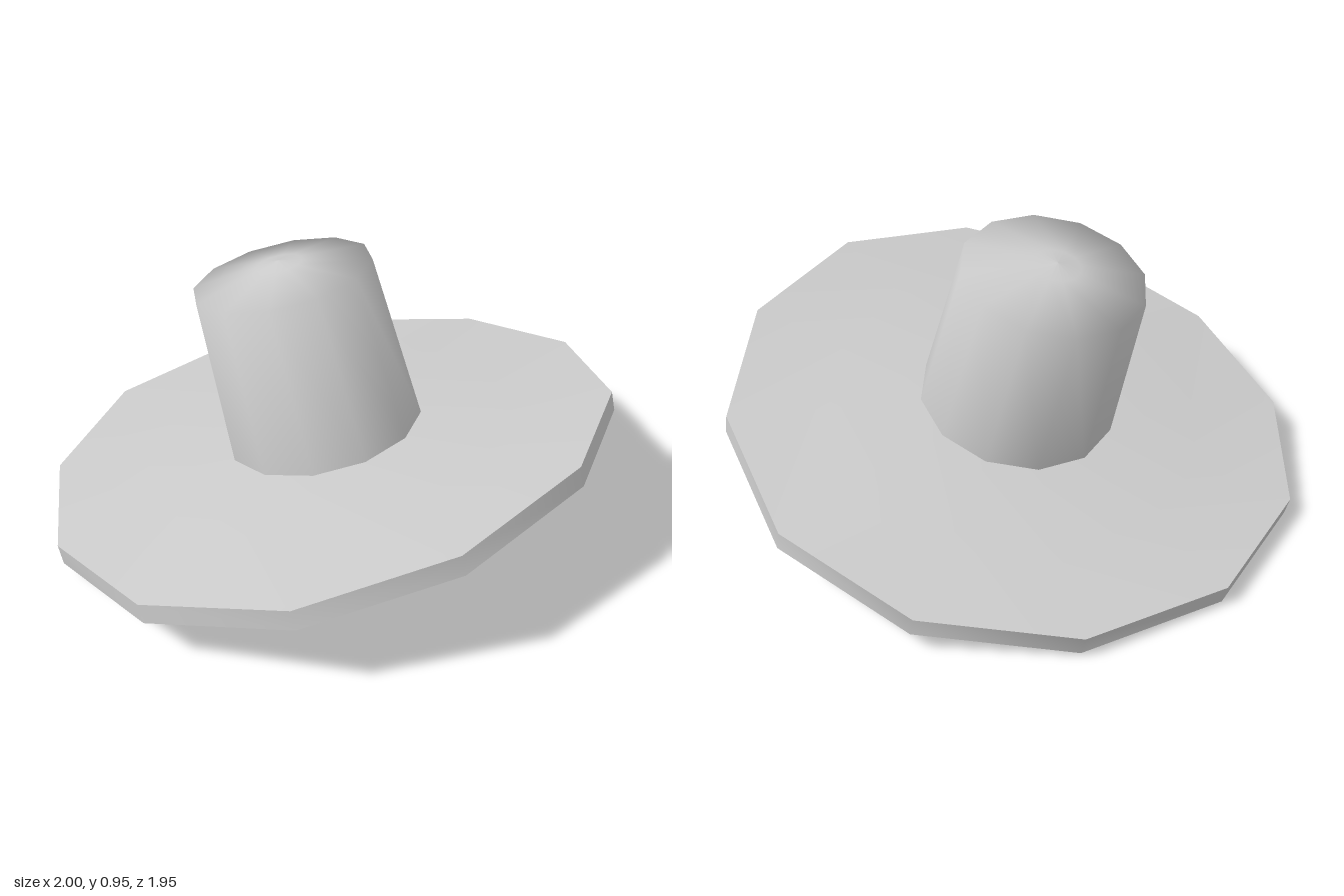
import * as THREE from 'three';
import { toCreasedNormals } from 'three/addons/utils/BufferGeometryUtils.js';

const SIDES = 12;
const TILT = THREE.MathUtils.degToRad(15);
const lathe = (points) =>
  new THREE.LatheGeometry(points.map(([r, y]) => new THREE.Vector2(r, y)), SIDES);

// Brim: a thin twelve-sided disc whose sides droop while front and back curl up
function brimGeometry() {
  const thick = 0.07, inner = 0.33, mid = 0.66;
  const geometry = lathe([
    [0, -thick], [inner, -thick], [mid, -thick], [1, -thick],
    [1, 0], [mid, 0], [inner, 0], [0, 0],
  ]);
  const pos = geometry.attributes.position;
  for (let i = 0; i < pos.count; i++) {
    const x = pos.getX(i), z = pos.getZ(i);
    const r = Math.hypot(x, z);
    const t = Math.max(0, (r - inner) / (1 - inner));
    const across = r > 0 ? Math.abs(x) / r : 0;
    const curl = 1 - Math.pow(across, 1.5);
    pos.setY(i, pos.getY(i) - 0.07 * t + 0.07 * t * t * curl);
  }
  return toCreasedNormals(geometry, 0.6);
}

// Crown: tapered wall leaning slightly back, with a shallow pointed top
function crownGeometry() {
  const geometry = lathe([[0.345, -0.01], [0.31, 0.578], [0.08, 0.615], [0, 0.627]]);
  const pos = geometry.attributes.position;
  for (let i = 0; i < pos.count; i++) {
    pos.setZ(i, pos.getZ(i) + 0.004 - 0.042 * pos.getY(i));
  }
  return geometry;
}

export function createModel() {
  const felt = new THREE.MeshStandardMaterial({ color: 0xcccccc });
  felt.name = 'grey felt';

  const hat = new THREE.Group();
  hat.name = 'hat';

  const brim = new THREE.Mesh(brimGeometry(), felt);
  brim.name = 'brim';
  brim.rotation.x = 0.0065;

  const crown = new THREE.Mesh(crownGeometry(), felt);
  crown.name = 'crown';

  // The whole hat leans back
  hat.add(brim, crown);
  hat.rotation.x = -TILT;
  hat.position.set(0, 0.32, -0.009);

  const model = new THREE.Group();
  model.name = 'tilted hat';
  model.add(hat);
  return model;
}
